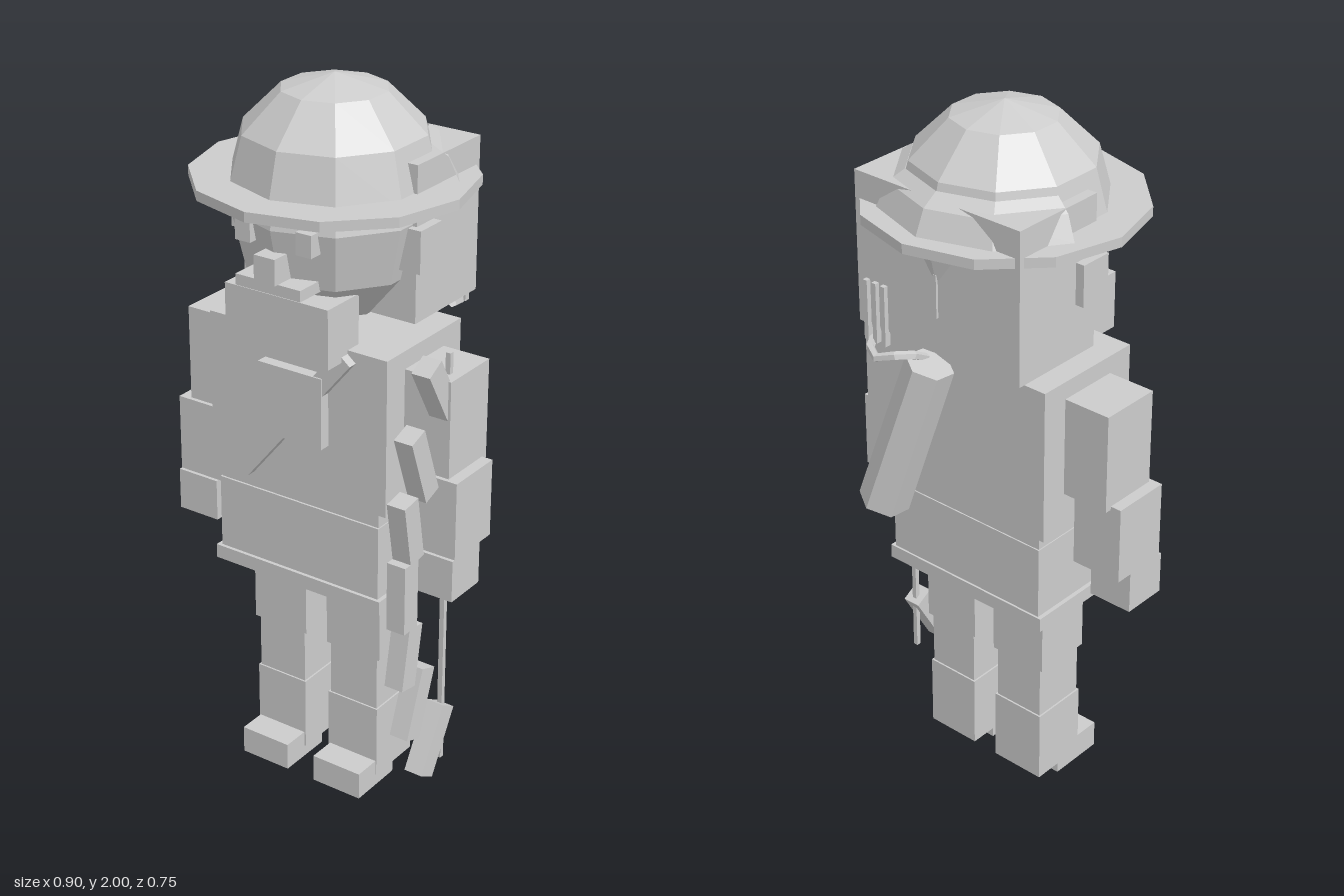
import * as THREE from 'three';

export function createModel() {
  const model = new THREE.Group();
  const grey = new THREE.MeshStandardMaterial({ color: 0xcccccc, flatShading: true, side: THREE.DoubleSide });
  grey.name = 'plainGrey';

  const add = (name, geometry, parent = model) => {
    const mesh = new THREE.Mesh(geometry, grey);
    mesh.name = name;
    parent.add(mesh);
    return mesh;
  };
  // Box given by its limits on each axis
  const box = (name, x0, x1, y0, y1, z0, z1) => {
    const mesh = add(name, new THREE.BoxGeometry(x1 - x0, y1 - y0, z1 - z0));
    mesh.position.set((x0 + x1) / 2, (y0 + y1) / 2, (z0 + z1) / 2);
    return mesh;
  };
  // The same box on both sides of the body
  const pair = (name, x0, x1, ...rest) => {
    box(name + 'Left', x0, x1, ...rest);
    box(name + 'Right', -x1, -x0, ...rest);
  };

  // Legs and feet
  pair('thigh', 0.035, 0.21, 0.41, 0.64, -0.086, 0.086);
  pair('knee', 0.045, 0.198, 0.25, 0.41, -0.08, 0.08);
  pair('shin', 0.04, 0.203, 0.035, 0.25, -0.085, 0.085);
  pair('foot', 0.045, 0.2, 0, 0.08, 0, 0.165);

  // Tunic
  box('hem', -0.27, 0.27, 0.62, 0.66, -0.168, 0.178);
  box('skirt', -0.258, 0.258, 0.66, 0.87, -0.162, 0.168);
  box('waist', -0.255, 0.255, 0.87, 0.91, -0.158, 0.162);
  box('torso', -0.28, 0.28, 0.91, 1.35, -0.17, 0.168);

  // Arms
  pair('upperArm', 0.27, 0.418, 1.02, 1.3, -0.09, 0.088);
  pair('forearm', 0.3, 0.45, 0.81, 1.03, -0.07, 0.1);
  pair('hand', 0.32, 0.45, 0.69, 0.81, -0.02, 0.11);

  // Chest strap and pouch
  box('pouch', -0.1, 0.1, 1.065, 1.265, 0.16, 0.2);
  const strap = add('chestStrap', new THREE.BoxGeometry(0.053, 0.52, 0.04));
  strap.position.set(0, 1.135, 0.175);
  strap.rotation.z = -0.685;

  // Head
  const head = add('head', new THREE.SphereGeometry(1, 10, 6, Math.PI / 2));
  head.scale.set(0.272, 0.31, 0.272);
  head.position.y = 1.665;
  box('hood', -0.27, 0.27, 1.4, 1.82, -0.255, 0.03);
  pair('ear', 0.23, 0.295, 1.545, 1.66, -0.045, 0.05);
  pair('eye', 0.07, 0.117, 1.615, 1.675, 0.2, 0.262);
  pair('brow', 0.055, 0.137, 1.69, 1.715, 0.2, 0.266);
  box('nose', -0.032, 0.032, 1.535, 1.605, 0.2, 0.298);
  box('mouth', -0.1, 0.1, 1.505, 1.535, 0.17, 0.285);
  box('scarf', -0.16, 0.16, 1.325, 1.487, 0.12, 0.253);

  // Hat: faceted dome, twelve-sided brim and a sloping band at the back
  const dome = add('hatDome', new THREE.SphereGeometry(0.28, 10, 3, Math.PI / 2, Math.PI * 2, 0, Math.PI / 2));
  dome.position.y = 1.72;
  const brim = add('hatBrim', new THREE.CylinderGeometry(0.373, 0.373, 0.027, 12));
  brim.position.y = 1.732;
  const band = [[0.325, 1.745], [0.295, 1.81], [0.25, 1.84]].map(([r, y]) => new THREE.Vector2(r, y));
  add('hatBackBand', new THREE.LatheGeometry(band, 4, Math.PI * 0.6, Math.PI * 0.8));

  // Bow: stepped limbs around a grip, with a string
  const bow = new THREE.Group();
  bow.name = 'bow';
  bow.position.set(0.383, 0.753, 0);
  model.add(bow);
  const bowSteps = [[0, 0.24, 0.195], [0.184, 0.23, 0.178], [0.35, 0.185, 0.2], [0.516, 0.098, 0.2]];
  bowSteps.forEach(([dy, z, length], i) => {
    for (const side of i ? [1, -1] : [1]) {
      const part = add(i ? 'bowLimb' : 'bowGrip', new THREE.BoxGeometry(0.055, length, 0.06), bow);
      part.position.set(0, side * dy, z);
      part.rotation.x = side * i * Math.PI / 18;
    }
  });
  const string = add('bowString', new THREE.BoxGeometry(0.014, 1.21, 0.014), bow);
  string.position.z = 0.043;

  // Quiver, slanted across the back
  const top = new THREE.Vector3(0.06, 1.33, -0.22);
  const bottom = new THREE.Vector3(0.19, 0.89, -0.27);
  const quiver = add('quiver', new THREE.CylinderGeometry(0.066, 0.07, top.distanceTo(bottom), 6));
  quiver.position.copy(top).add(bottom).multiplyScalar(0.5);
  quiver.quaternion.setFromUnitVectors(new THREE.Vector3(0, 1, 0), top.clone().sub(bottom).normalize());

  // Arrows and the loop that carries them
  for (const x of [0.175, 0.205, 0.235]) box('arrow', x - 0.007, x + 0.007, 1.36, 1.53, -0.268, -0.25);
  box('hoodSeam', -0.005, 0.005, 1.5, 1.62, -0.262, -0.25);
  const loop = new THREE.CatmullRomCurve3([
    [0.09, 1.33, -0.2], [0.1, 1.365, -0.27], [0.16, 1.35, -0.31], [0.22, 1.36, -0.27], [0.24, 1.375, -0.19],
  ].map((p) => new THREE.Vector3(...p)));
  add('quiverLoop', new THREE.TubeGeometry(loop, 6, 0.012, 5));

  return model;
}
